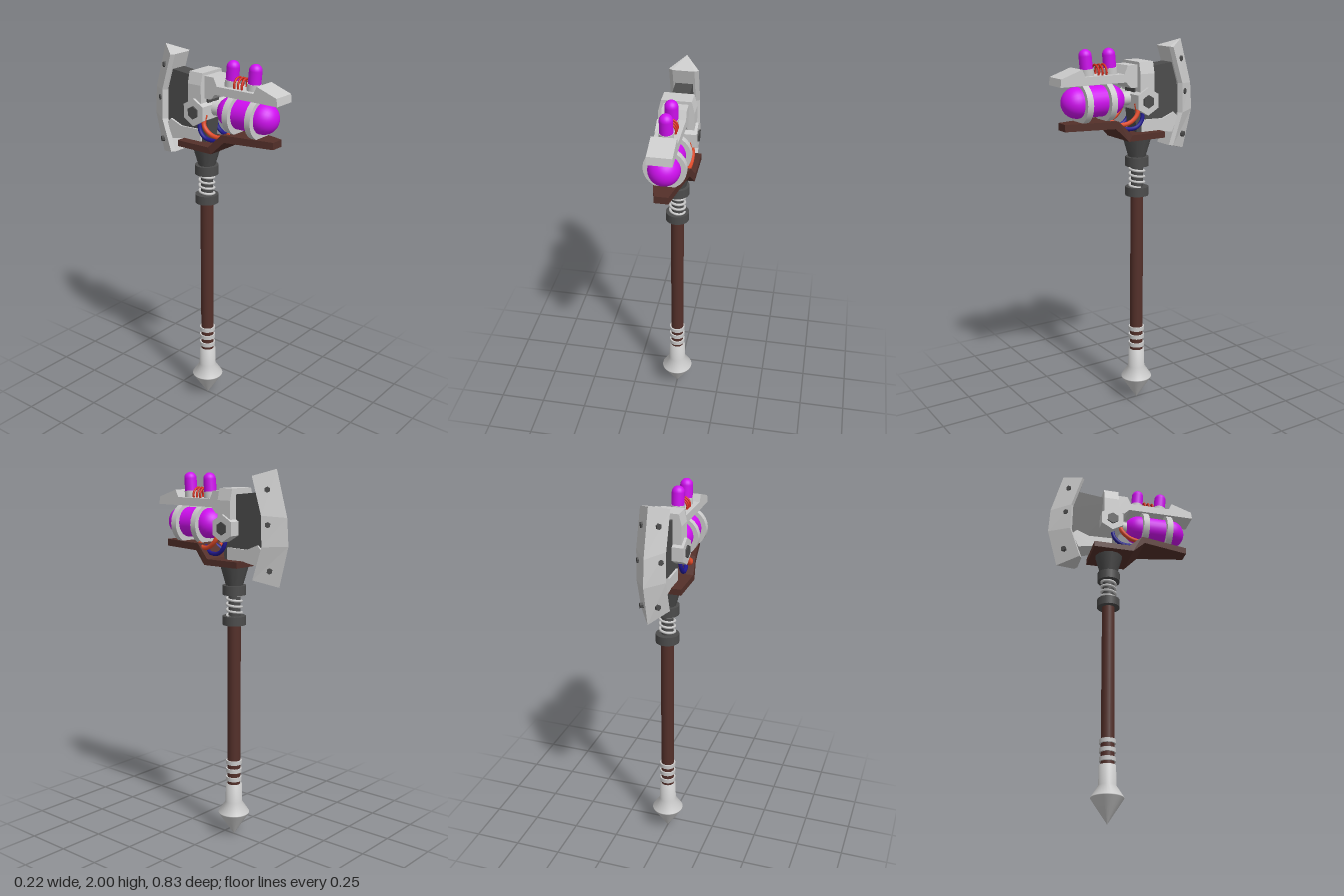
import * as THREE from 'three';

const mat = (color, flat = false) => new THREE.MeshStandardMaterial({ color, flatShading: flat, side: THREE.DoubleSide });
const GREY = 0xcccccc, DARK = 0x4c4c4c, BROWN = 0x54302a, PURPLE = 0xd010f0, ORANGE = 0xe04a28, RED = 0xd83020, BLUE = 0x201890;
const AXIS_Z = -0.065;

export function createModel() {
  const model = new THREE.Group();

  const add = (name, geometry, color, x = 0, y = 0, z = 0, flat = false) => {
    const mesh = new THREE.Mesh(geometry, mat(color, flat));
    mesh.name = name;
    mesh.position.set(x, y, z);
    model.add(mesh);
    return mesh;
  };
  const shapeOf = (pts) => new THREE.Shape(pts.map(([a, b]) => new THREE.Vector2(a, b)));
  // Side profile given as [z, y], extruded symmetrically across x
  const sideExtrude = (pts, half) => {
    const g = new THREE.ExtrudeGeometry(shapeOf(pts), { depth: half * 2, bevelEnabled: false });
    return g.translate(0, 0, -half).rotateY(-Math.PI / 2);
  };
  const onShaft = (name, rTop, rBottom, y0, y1, color, sides = 24) =>
    add(name, new THREE.CylinderGeometry(rTop, rBottom, y1 - y0, sides), color, 0, (y0 + y1) / 2, AXIS_Z);

  // Handle: pommel spike, shaft and grip rings
  const spike = [[0, 0], [0.085, 0.13], [0.085, 0.135], [0.046, 0.195], [0.044, 0.3], [0, 0.3]]
    .map(([r, y]) => new THREE.Vector2(r, y));
  add('pommelSpike', new THREE.LatheGeometry(spike, 28), GREY, 0, 0, AXIS_Z);
  onShaft('shaft', 0.035, 0.035, 0.28, 1.2, BROWN, 16);
  for (const y of [0.33, 0.378, 0.425]) onShaft('gripRing', 0.043, 0.043, y - 0.011, y + 0.011, GREY);

  // Sprung neck
  onShaft('lowerCollar', 0.062, 0.062, 1.19, 1.237, DARK);
  onShaft('neckRod', 0.032, 0.032, 1.2, 1.4, DARK);
  onShaft('upperCollar', 0.062, 0.062, 1.35, 1.4, DARK);
  onShaft('neckCone', 0.078, 0.046, 1.4, 1.51, DARK, 12);
  const coil = Array.from({ length: 57 }, (_, i) => {
    const a = (i / 56) * Math.PI * 8;
    return new THREE.Vector3(Math.cos(a) * 0.039, 1.235 + 0.12 * i / 56, Math.sin(a) * 0.039);
  });
  add('neckSpring', new THREE.TubeGeometry(new THREE.CatmullRomCurve3(coil), 160, 0.007, 6), GREY, 0, 0, AXIS_Z);

  // Stepped base plate, narrowing toward the front
  const plate = sideExtrude([[-0.17, 1.505], [0.05, 1.505], [0.12, 1.575], [0.38, 1.575], [0.38, 1.612],
    [0.105, 1.612], [0.03, 1.537], [-0.17, 1.537]], 0.107);
  const p = plate.attributes.position;
  for (let i = 0; i < p.count; i++) {
    const t = Math.max(0, (p.getZ(i) - 0.05) / 0.33);
    p.setX(i, p.getX(i) * (1 - 0.67 * t));
  }
  plate.computeVertexNormals();
  add('basePlate', plate, BROWN, 0, 0, 0, true);

  // Head core and lower jaw
  add('headCore', sideExtrude([[-0.02, 1.86], [-0.25, 1.885], [-0.3, 1.77], [-0.3, 1.62], [-0.25, 1.54],
    [-0.035, 1.535], [-0.02, 1.66]], 0.044), DARK, 0, 0, 0, true);
  add('lowerJaw', sideExtrude([[-0.06, 1.535], [-0.17, 1.535], [-0.25, 1.52], [-0.285, 1.6], [-0.26, 1.625],
    [-0.19, 1.597], [-0.06, 1.6]], 0.055), GREY, 0, 0, 0, true);

  // Chamfered head block
  const block = new THREE.ExtrudeGeometry(shapeOf([[-0.09, 1.7], [0.09, 1.7], [0.09, 1.84], [0.075, 1.9],
    [-0.075, 1.9], [-0.09, 1.84]]), { depth: 0.084, bevelEnabled: false });
  add('headBlock', block, GREY, 0, 0, -0.112, true);

  // Hexagonal cross bolt with a recess at each end
  const hex = (r, length) => new THREE.CylinderGeometry(r, r, length, 6).rotateZ(Math.PI / 2).rotateX(Math.PI / 2);
  add('crossBolt', hex(0.071, 0.208), GREY, 0, 1.7, -0.067, true);
  add('crossBoltCore', hex(0.034, 0.222), DARK, 0, 1.7, -0.067, true);

  // Wedge blade: each station is outer edge [y, z] then inner corner [y, z]
  const stations = [[2.0, -0.335, 1.965, -0.238], [1.765, -0.403, 1.775, -0.298],
    [1.625, -0.413, 1.62, -0.302], [1.415, -0.36, 1.45, -0.245]];
  const verts = [], index = [], N = 5;
  stations.forEach(([yo, zo, yi, zi], s) => {
    verts.push(0, yo, zo, 0.075, yi, zi, 0.055, yi, zi + 0.014, -0.055, yi, zi + 0.014, -0.075, yi, zi);
    for (let j = 0; j < N && s < stations.length - 1; j++) {
      const a = s * N + j, b = s * N + (j + 1) % N;
      index.push(a, b, b + N, a, b + N, a + N);
    }
  });
  const last = N * (stations.length - 1);
  for (let k = 1; k < N - 1; k++) index.push(0, k + 1, k, last, last + k, last + k + 1);
  const blade = new THREE.BufferGeometry();
  blade.setAttribute('position', new THREE.Float32BufferAttribute(verts, 3));
  blade.setIndex(index);
  const bladeFlat = blade.toNonIndexed();
  bladeFlat.computeVertexNormals();
  add('blade', bladeFlat, GREY, 0, 0, 0, true);

  // Blade rivets on both faces
  for (const side of [1, -1]) {
    for (const [x, y, z] of [[0.038, 1.9, -0.307], [0.053, 1.73, -0.323], [0.04, 1.5, -0.328]]) {
      const rivet = add('bladeRivet', new THREE.CylinderGeometry(0.015, 0.015, 0.022, 6), DARK, side * x, y, z, true);
      rivet.quaternion.setFromUnitVectors(new THREE.Vector3(0, 1, 0), new THREE.Vector3(side * 0.83, 0, -0.56).normalize());
    }
  }

  // Tank with two clamps and a rear connector
  add('tank', new THREE.CapsuleGeometry(0.079, 0.192, 10, 28).rotateX(Math.PI / 2), PURPLE, 0, 1.71, 0.2);
  const alongZ = (r, length) => new THREE.CylinderGeometry(r, r, length, 24).rotateX(Math.PI / 2);
  for (const z of [0.132, 0.27]) add('tankClamp', alongZ(0.108 - 0.003, 0.034), GREY, 0, 1.705, z);
  add('tankConnector', alongZ(0.036, 0.1), GREY, 0, 1.71, 0.0);

  // Top rail with raised front sight
  add('topRail', sideExtrude([[-0.04, 1.77], [0.01, 1.77], [0.04, 1.8], [0.415, 1.8], [0.41, 1.84], [0.293, 1.88],
    [0.275, 1.842], [0.05, 1.842], [0.03, 1.885], [-0.04, 1.885]], 0.061), GREY, 0, 0, 0, true);

  // Vials standing in sockets on the rail
  for (const z of [0.238, 0.102]) {
    const vial = add('vial', new THREE.CapsuleGeometry(0.033, 0.09, 8, 20), PURPLE, 0, 1.894, z);
    const socket = add('vialSocket', new THREE.CylinderGeometry(0.036, 0.036, 0.04, 20), GREY, 0, 1.855, z - 0.004);
    vial.rotation.x = socket.rotation.x = 0.09;
  }

  // Heating coils between the vials
  for (const z of [0.14, 0.163, 0.186]) add('heatingCoil', new THREE.TorusGeometry(0.037, 0.0055, 8, 24), RED, 0, 1.855, z);

  // Cables from the bolt to the base plate, on both sides
  const cable = (name, color, radius, pts) => {
    for (const side of [1, -1]) {
      const path = new THREE.CatmullRomCurve3(pts.map(([x, y, z]) => new THREE.Vector3(side * x, y, z)));
      add(name, new THREE.TubeGeometry(path, 24, radius, 8), color);
    }
  };
  cable('upperCable', ORANGE, 0.012, [[0.07, 1.69, -0.015], [0.085, 1.64, -0.012], [0.085, 1.6, 0.03], [0.075, 1.59, 0.09], [0.05, 1.61, 0.13]]);
  cable('lowerCable', BLUE, 0.011, [[0.06, 1.66, -0.06], [0.068, 1.6, -0.05], [0.068, 1.567, -0.015], [0.06, 1.565, 0.05], [0.04, 1.595, 0.1]]);

  return model;
}
